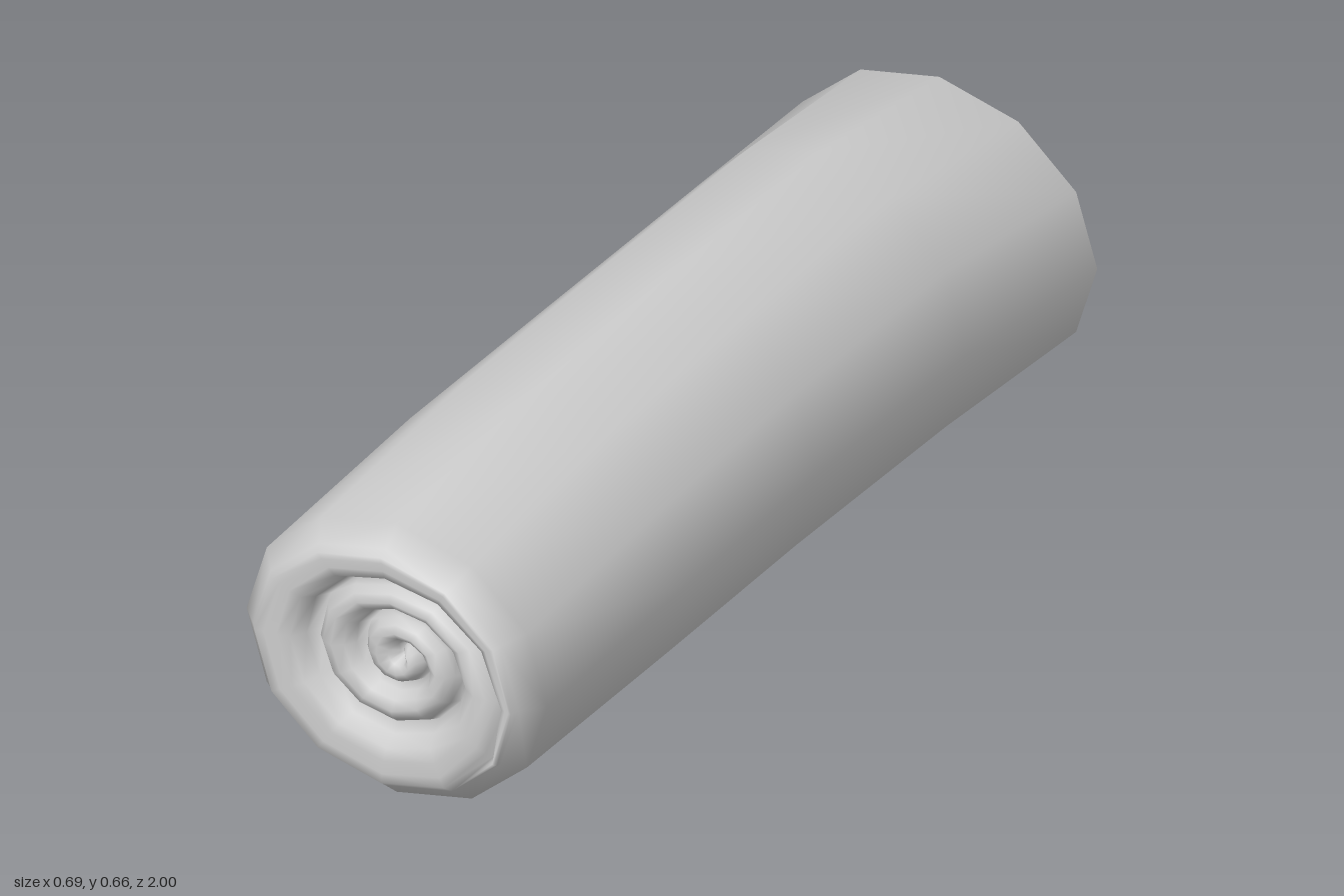
import * as THREE from 'three';
import { mergeGeometries, mergeVertices } from 'three/addons/utils/BufferGeometryUtils.js';

const SIDES = 12;

// Surface through rows of points
function grid(rows) {
  const n = rows[0].length;
  const index = [];
  for (let r = 0; r < rows.length - 1; r++) {
    for (let c = 0; c < n - 1; c++) {
      const a = r * n + c, b = a + n;
      index.push(a, b, a + 1, b, b + 1, a + 1);
    }
  }
  const g = new THREE.BufferGeometry();
  g.setAttribute('position', new THREE.Float32BufferAttribute(rows.flat(2), 3));
  g.setIndex(index);
  return g;
}

// Roll cross-sections: z, centre x, centre y, radius x, radius y
const FRONT = [0.975, 0.02, 0.305, 0.29, 0.252];
const BACK = [-0.972, 0, 0.305, 0.305, 0.255];
const SECTIONS = [
  FRONT,
  [0.935, 0.018, 0.305, 0.328, 0.287],
  [0.45, 0.015, 0.322, 0.325, 0.318],
  [0, 0.014, 0.329, 0.317, 0.327],
  [-0.5, 0.016, 0.333, 0.317, 0.332],
  [-0.935, -0.004, 0.303, 0.345, 0.299],
  BACK,
];

// Point on a section at angle a, scaled by s toward the spiral's centre
function sectionPoint([z, cx, cy, rx, ry], a, s = 1, lift = 0) {
  const dir = Math.sign(z);
  const x = cx + rx * s * Math.cos(a) + dir * 0.035 * (1 - s);
  const y = cy + ry * s * Math.sin(a) + 0.035 * (1 - s);
  const tilt = z < 0 && z < -0.96 ? 0.035 * x : 0; // back end slightly skewed
  return [x, y, z + tilt + dir * lift];
}

// Seam of the rolled cloth: step (12 per turn) and relative radius
const SEAM = [[0, 1], [2, 0.86], [5, 0.67], [8, 0.61], [11, 0.56], [14, 0.46],
  [17, 0.38], [20, 0.29], [23, 0.25], [26, 0.18], [29, 0.09], [31, 0]];
const LAST = 31;

function seamRadius(i) {
  if (i < 0) return 1;
  if (i >= LAST) return 0;
  const k = SEAM.findIndex(([step]) => step > i);
  const [s0, r0] = SEAM[k - 1], [s1, r1] = SEAM[k];
  return r0 + (r1 - r0) * (i - s0) / (s1 - s0);
}
const seamHeight = (i) => -0.04 * THREE.MathUtils.clamp(i / 3, 0, 1);

// End of the roll: one rounded ridge of cloth winding inward between seams
function spiralEnd(section) {
  const rows = [];
  const front = section[0] > 0;
  const cuts = [0, 0.12, 0.28, 0.5, 0.72, 0.88, 1];
  for (let i = 0; i <= LAST + SIDES; i++) {
    let a = -Math.PI / 3 + i * 2 * Math.PI / SIDES;
    if (!front) a = Math.PI - a;
    const outer = seamRadius(i - SIDES), inner = seamRadius(i);
    const bulge = 0.055 * Math.min(1, (outer - inner) / 0.16);
    rows.push(cuts.map((u) => {
      const base = THREE.MathUtils.lerp(seamHeight(i - SIDES), seamHeight(i), u);
      const round = u === 0 || u === 1 ? 0 : Math.pow(Math.sin(Math.PI * u), 0.7);
      const lift = Math.min(base + bulge * round, 0.02);
      return sectionPoint(section, a, THREE.MathUtils.lerp(outer, inner, u), lift);
    }));
  }
  return grid(rows);
}

export function createModel() {
  const group = new THREE.Group();
  group.name = 'rolledTowel';

  // Outer wrap with turned-in rims
  const wrap = grid(SECTIONS.map((s) =>
    Array.from({ length: SIDES + 1 }, (_, j) => sectionPoint(s, j * 2 * Math.PI / SIDES))));

  // Joined so the cloth shades smoothly from wrap to ends
  const cloth = mergeVertices(
    mergeGeometries([wrap, spiralEnd(FRONT), spiralEnd(BACK)]), 1e-4);
  cloth.computeVertexNormals();

  const towel = new THREE.Mesh(cloth, new THREE.MeshStandardMaterial({
    color: 0xcccccc, side: THREE.DoubleSide,
  }));
  towel.name = 'towelRoll';
  group.add(towel);
  return group;
}
